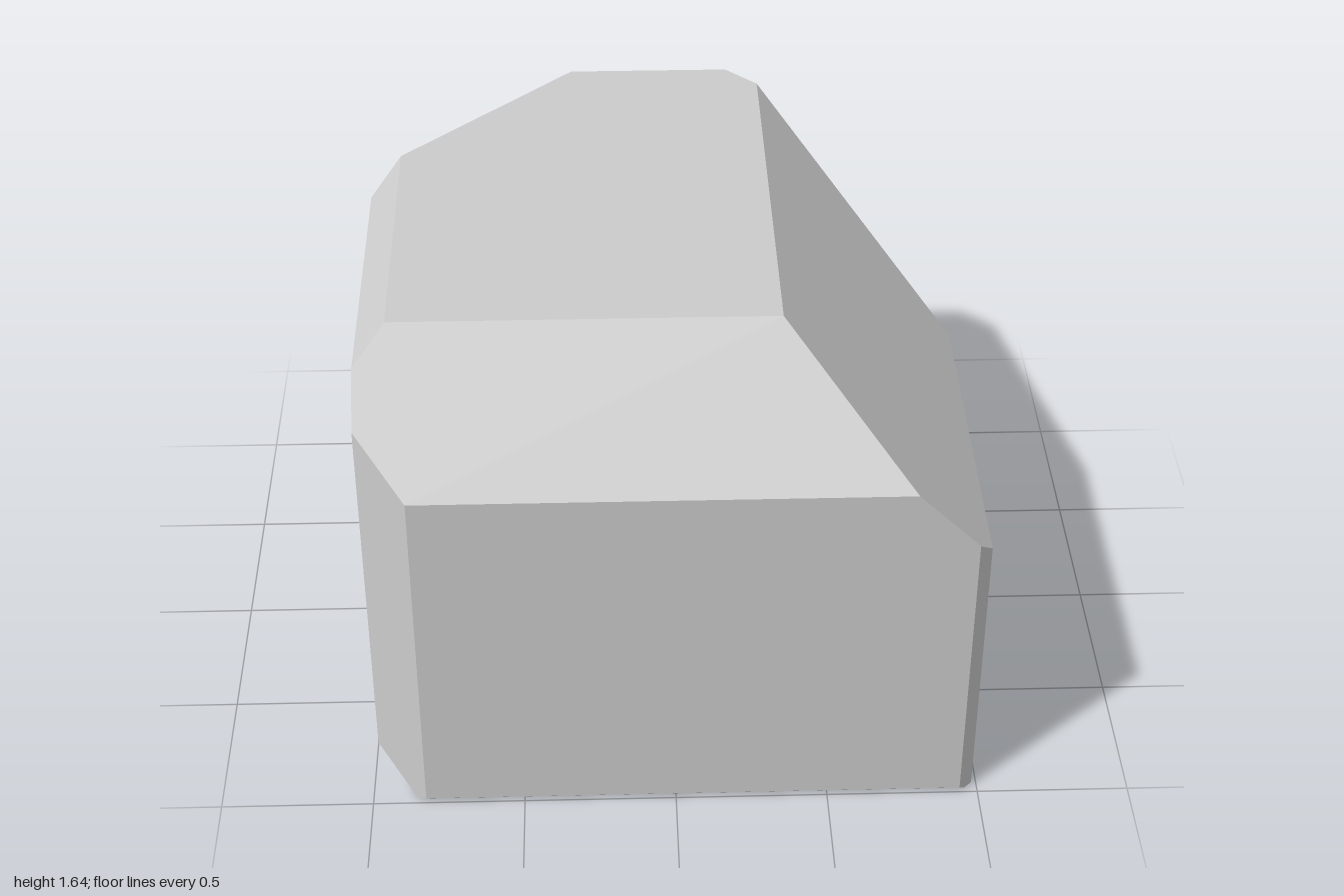
import * as THREE from 'three';

// Solid bounded by flat cuts: each entry is [nx, ny, nz, limit], keeping n . p <= limit
const CUTS = [
  // main box
  [1, 0, 0, 0.985], [-1, 0, 0, 0.985],
  [0, 1, 0, 1.645], [0, -1, 0, 0],
  [0, 0, 1, 1], [0, 0, -1, 1],
  // bevels along z
  [1, 1, 0, 1.985], [-1, 1, 0, 2.53], [-1, -1, 0, 0.86],
  // bevels along x
  [0, 1, 1, 2.245], [0, 1, -1, 2.617], [0, -1, -1, 0.32], [0, -1, 1, 0.98],
  // upright bevels
  [1, 0, 1, 1.94], [-1, 0, 1, 1.825], [1, 0, -1, 1.205], [-1, 0, -1, 1.285],
];

// Corners: points where three cuts meet and that lie inside all the others
function findCorners(planes) {
  const corners = [];
  const m = new THREE.Matrix3();
  for (let i = 0; i < planes.length; i++)
    for (let j = i + 1; j < planes.length; j++)
      for (let k = j + 1; k < planes.length; k++) {
        const [a, b, c] = [planes[i], planes[j], planes[k]];
        m.set(...a.n.toArray(), ...b.n.toArray(), ...c.n.toArray());
        if (Math.abs(m.determinant()) < 1e-6) continue;
        const p = new THREE.Vector3(a.d, b.d, c.d).applyMatrix3(m.invert());
        const inside = planes.every(({ n, d }) => n.dot(p) <= d + 1e-6);
        if (inside && !corners.some((q) => q.distanceTo(p) < 1e-5)) corners.push(p);
      }
  return corners;
}

function cutSolid(cuts) {
  const planes = cuts.map(([x, y, z, d]) => ({ n: new THREE.Vector3(x, y, z), d }));
  const corners = findCorners(planes);
  const positions = [];
  for (const { n, d } of planes) {
    const face = corners.filter((p) => Math.abs(n.dot(p) - d) < 1e-5);
    if (face.length < 3) continue;
    // order the face's corners anticlockwise around its outward normal
    const centre = face.reduce((s, p) => s.add(p), new THREE.Vector3()).divideScalar(face.length);
    const normal = n.clone().normalize();
    const u = face[0].clone().sub(centre).normalize();
    const v = normal.clone().cross(u);
    const angle = (p) => {
      const r = p.clone().sub(centre);
      return Math.atan2(r.dot(v), r.dot(u));
    };
    face.sort((p, q) => angle(p) - angle(q));
    for (let i = 1; i < face.length - 1; i++)
      for (const p of [face[0], face[i], face[i + 1]]) positions.push(p.x, p.y, p.z);
  }
  const geometry = new THREE.BufferGeometry();
  geometry.setAttribute('position', new THREE.Float32BufferAttribute(positions, 3));
  geometry.computeVertexNormals();
  return geometry;
}

export function createModel() {
  const group = new THREE.Group();
  group.name = 'bevelledBlock';
  const material = new THREE.MeshStandardMaterial({ color: 0xcccccc, flatShading: true });
  const block = new THREE.Mesh(cutSolid(CUTS), material);
  block.name = 'block';
  group.add(block);
  return group;
}
